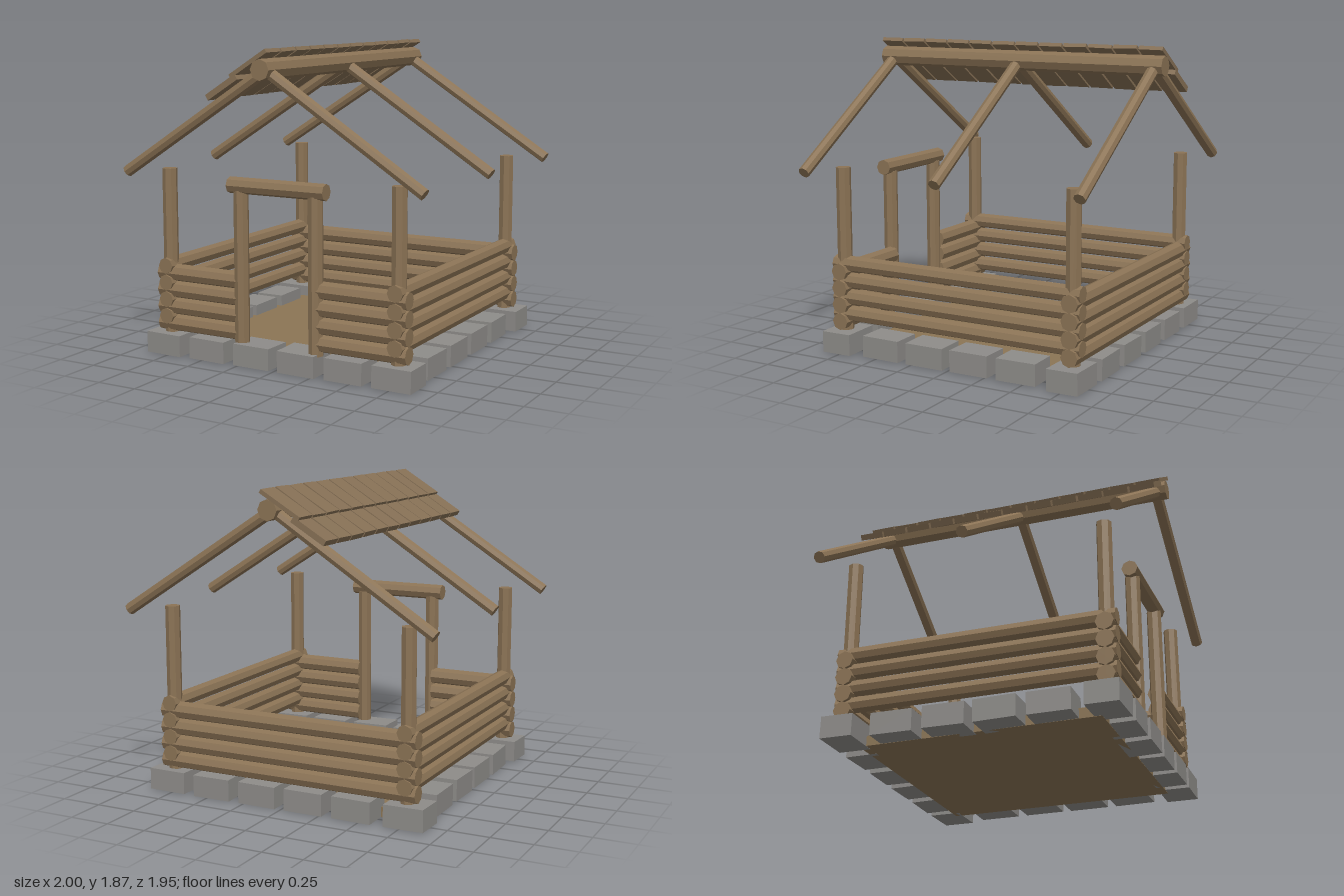
import * as THREE from 'three';

export function createModel() {
  const model = new THREE.Group();
  model.name = 'logCabinFrame';

  const material = (name, color) => {
    const m = new THREE.MeshStandardMaterial({ color, flatShading: true });
    m.name = name;
    return m;
  };
  const logWood = material('logWood', 0x8b7355);
  const shakeWood = material('shakeWood', 0x867055);
  const earth = material('packedEarth', 0x8b7555);
  const stone = material('foundationStone', 0x8e8c89);

  // Seeded jitter for hand-made irregularity
  let seed = 7;
  const jitter = (amount) => {
    seed = (seed * 16807) % 2147483647;
    return (seed / 2147483647 - 0.5) * 2 * amount;
  };

  const group = (name) => {
    const g = new THREE.Group();
    g.name = name;
    model.add(g);
    return g;
  };

  const up = new THREE.Vector3(0, 1, 0);
  // Eight-sided log between two points
  function log(parent, name, a, b, radius) {
    const from = new THREE.Vector3(...a), to = new THREE.Vector3(...b);
    const dir = to.clone().sub(from);
    const mesh = new THREE.Mesh(new THREE.CylinderGeometry(radius, radius, dir.length(), 8), logWood);
    mesh.name = name;
    mesh.position.copy(from).add(to).multiplyScalar(0.5);
    mesh.quaternion.setFromUnitVectors(up, dir.normalize());
    parent.add(mesh);
  }

  function box(parent, name, mat, size, pos) {
    const mesh = new THREE.Mesh(new THREE.BoxGeometry(...size), mat);
    mesh.name = name;
    mesh.position.set(...pos);
    parent.add(mesh);
    return mesh;
  }

  // Earth floor
  box(model, 'floor', earth, [1.43, 0.06, 1.43], [0, 0.035, 0]);

  // Ring of foundation stones: six front and back, four on each side
  const stones = group('foundation');
  function addStone(w, d, x, z) {
    const s = box(stones, 'foundationStone', stone, [w, 0.13, d], [x, 0.071, z]);
    s.rotation.set(jitter(0.02), jitter(0.025), jitter(0.02));
  }
  for (const side of [-1, 1]) {
    for (const x of [-0.775, -0.46, -0.152, 0.152, 0.465, 0.77]) {
      addStone(0.243, 0.195, x + jitter(0.006), side * 0.768);
    }
    for (const z of [-0.46, -0.148, 0.152, 0.462]) {
      addStone(0.19, 0.25, side * 0.768, z + jitter(0.006));
    }
  }

  // Log walls, with the side courses half a log higher than the front and back
  const walls = group('walls');
  for (let i = 0; i < 4; i++) {
    const yFront = 0.192 + i * 0.103;
    const ySide = 0.237 + i * 0.103;
    log(walls, 'backWallLog', [-0.835, yFront, -0.778], [0.835, yFront, -0.778], 0.053);
    for (const side of [-1, 1]) {
      log(walls, 'frontWallLog', [side * 0.835, yFront, 0.775], [side * 0.27, yFront, 0.775], 0.053);
      log(walls, 'sideWallLog', [side * 0.772, ySide, -0.832], [side * 0.772, ySide, 0.832], 0.049);
    }
  }

  // Corner posts
  const posts = group('cornerPosts');
  for (const x of [-0.77, 0.77]) {
    for (const z of [-0.772, 0.772]) log(posts, 'cornerPost', [x, 0.13, z], [x, 1.135, z], 0.045);
  }

  // Door frame
  const door = group('doorFrame');
  for (const x of [-0.25, 0.25]) log(door, 'doorPost', [x, 0.12, 0.79], [x, 1.04, 0.79], 0.045);
  log(door, 'doorLintel', [-0.322, 1.068, 0.793], [0.322, 1.068, 0.793], 0.049);

  // Ridge beam and three pairs of rafters
  const roof = group('roofFrame');
  log(roof, 'ridgeBeam', [0, 1.75, -0.972], [0, 1.75, 0.972], 0.061);
  for (const z of [-0.908, -0.004, 0.903]) {
    for (const side of [-1, 1]) log(roof, 'rafter', [0, 1.745, z], [side * 0.981, 1.118, z], 0.036);
  }

  // Two overlapping rows of wooden shakes on one slope
  const shakes = group('roofShakes');
  const rows = [
    { name: 'lowerShake', x: -0.255, y: 1.646, length: 0.235, thickness: 0.035 },
    { name: 'upperShake', x: -0.077, y: 1.783, length: 0.282, thickness: 0.024 },
  ];
  for (const row of rows) {
    for (let i = 0; i < 12; i++) {
      const z = -0.897 + i * 0.1631;
      const shake = box(shakes, row.name, shakeWood, [row.length, row.thickness, 0.15], [row.x, row.y, z]);
      shake.rotation.set(jitter(0.015), jitter(0.01), 0.55 + jitter(0.01));
    }
  }

  return model;
}
